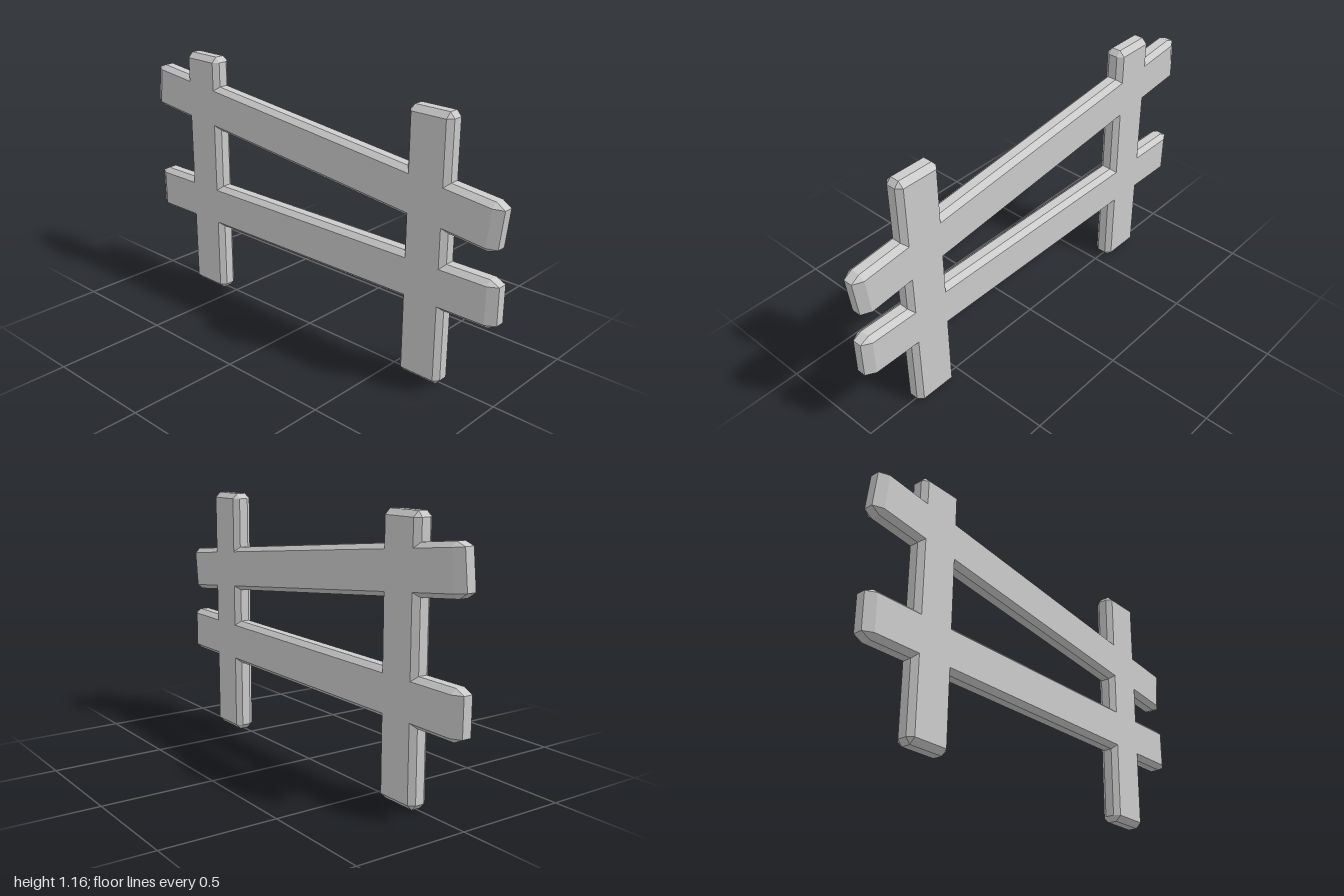
import * as THREE from 'three';
import { ConvexGeometry } from 'three/addons/geometries/ConvexGeometry.js';

const material = new THREE.MeshStandardMaterial({ color: 0xcccccc, flatShading: true });

// Box with chamfered edges and corners: half sizes h, chamfer depth c along each axis
function chamferedBox(h, c) {
  const points = [];
  for (const sx of [-1, 1]) for (const sy of [-1, 1]) for (const sz of [-1, 1]) {
    for (let face = 0; face < 3; face++) {
      const [x, y, z] = h.map((v, axis) => (axis === face ? v : v - c[axis]));
      points.push(new THREE.Vector3(sx * x, sy * y, sz * z));
    }
  }
  return new ConvexGeometry(points);
}

function addPlank(group, name, h, c, x, y, tilt = 0) {
  const mesh = new THREE.Mesh(chamferedBox(h, c), material);
  mesh.name = name;
  mesh.position.set(x, y, 0);
  mesh.rotation.z = tilt;
  group.add(mesh);
}

export function createModel() {
  const group = new THREE.Group();
  group.name = 'fence';

  // Upright posts
  for (const side of [-1, 1]) {
    addPlank(group, side > 0 ? 'leftPost' : 'rightPost',
      [0.103, 0.5825, 0.045], [0.021, 0.024, 0.024], side * 0.65, 0.5825);
  }

  // Rails: the lower almost level, the upper sagging towards +x
  const railChamfer = [0.042, 0.021, 0.024];
  addPlank(group, 'lowerRail', [0.998, 0.103, 0.045], railChamfer, 0, 0.444, 0.006);
  addPlank(group, 'upperRail', [0.994, 0.103, 0.045], railChamfer, -0.001, 0.867, -0.107);

  return group;
}
